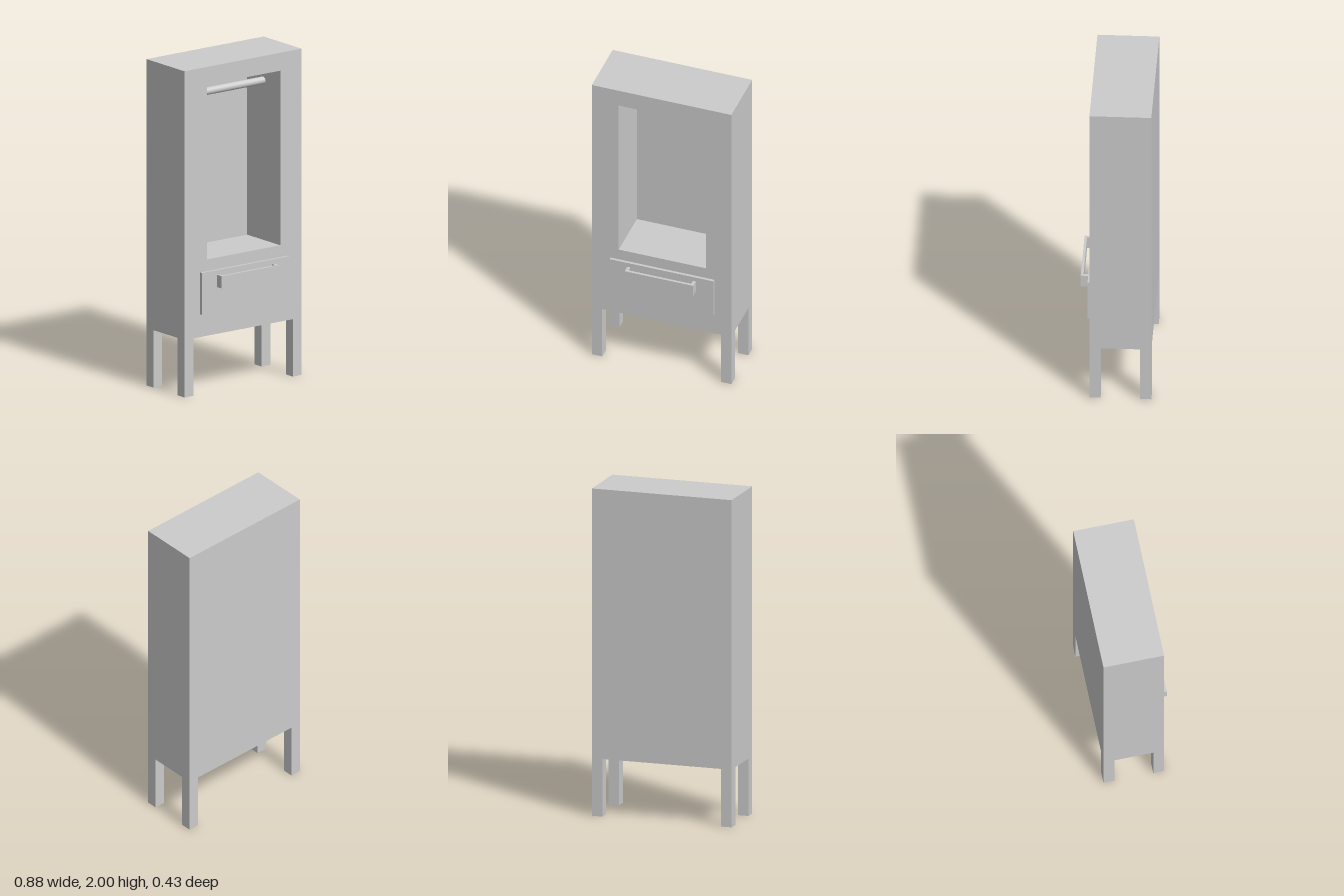
import * as THREE from 'three';

const material = new THREE.MeshStandardMaterial({ color: 0xcccccc });

// Box given by its min and max corners
function box(name, [x0, y0, z0], [x1, y1, z1]) {
  const mesh = new THREE.Mesh(new THREE.BoxGeometry(x1 - x0, y1 - y0, z1 - z0), material);
  mesh.position.set((x0 + x1) / 2, (y0 + y1) / 2, (z0 + z1) / 2);
  mesh.name = name;
  return mesh;
}

// Adds a rectangular outline to a shape or path
function rectangle(path, x0, y0, x1, y1) {
  path.moveTo(x0, y0).lineTo(x1, y0).lineTo(x1, y1).lineTo(x0, y1).closePath();
  return path;
}

export function createModel() {
  const group = new THREE.Group();
  group.name = 'wardrobe';

  const W = 0.44, BOTTOM = 0.352, TOP = 2, BACK = -0.216, FRONT = 0.152;
  const RECESS_BACK = -0.168, LEG = 0.066;

  // Cabinet frame with the open hanging compartment
  const outline = rectangle(new THREE.Shape(), -W, BOTTOM, W, TOP);
  outline.holes.push(rectangle(new THREE.Path(), -0.27, 0.82, 0.28, 1.89));
  const frame = new THREE.Mesh(
    new THREE.ExtrudeGeometry(outline, { depth: FRONT - RECESS_BACK, bevelEnabled: false }), material);
  frame.position.z = RECESS_BACK;
  frame.name = 'cabinetFrame';
  group.add(frame);

  // Back panel closing the compartment
  group.add(box('backPanel', [-W, BOTTOM, BACK], [W, TOP, RECESS_BACK]));

  // Four square legs, flush with the corners
  for (const [side, x] of [['right', -W], ['left', W - LEG]]) {
    for (const [end, z] of [['Front', FRONT - LEG], ['Back', BACK]]) {
      group.add(box(`${side}${end}Leg`, [x, 0, z], [x + LEG, BOTTOM, z + LEG]));
    }
  }

  // Hanging rail across the compartment
  const rail = new THREE.Mesh(new THREE.CylinderGeometry(0.023, 0.023, 0.55, 32), material);
  rail.rotation.z = Math.PI / 2;
  rail.position.set(0.005, 1.798, -0.015);
  rail.name = 'hangingRail';
  group.add(rail);

  // Drawer front
  group.add(box('drawerFront', [-0.322, 0.492, FRONT], [0.333, 0.748, 0.169]));

  // Drawer handle: a U-shaped bracket seen from above, extruded upwards
  const bracket = new THREE.Shape();
  bracket.moveTo(-0.21, -0.169).lineTo(-0.21, -0.216).lineTo(0.222, -0.216).lineTo(0.222, -0.169)
    .lineTo(0.204, -0.169).lineTo(0.204, -0.2).lineTo(-0.192, -0.2).lineTo(-0.192, -0.169).closePath();
  const handle = new THREE.Mesh(
    new THREE.ExtrudeGeometry(bracket, { depth: 0.075, bevelEnabled: false }), material);
  handle.rotation.x = -Math.PI / 2;
  handle.position.y = 0.645;
  handle.name = 'drawerHandle';
  group.add(handle);

  return group;
}
